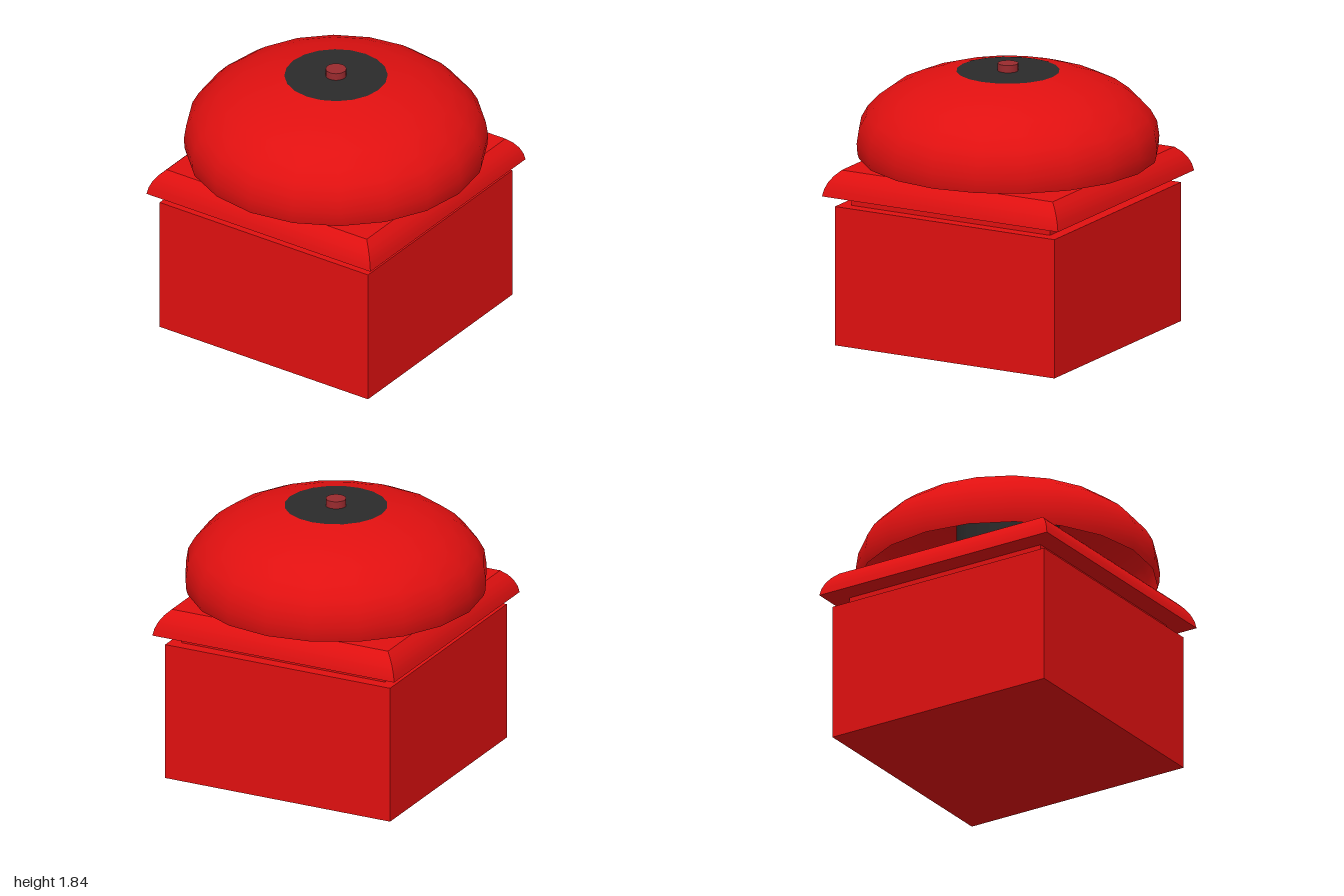
import * as THREE from 'three';
import { toCreasedNormals } from 'three/addons/utils/BufferGeometryUtils.js';

const paint = (color, side = THREE.FrontSide) => new THREE.MeshStandardMaterial({ color, side });

// Revolve [radius, y] pairs; four sides give a square section
function turned(profile, sides, start = 0, crease = 0.6) {
  const points = profile.map(([r, y]) => new THREE.Vector2(r, y));
  return toCreasedNormals(new THREE.LatheGeometry(points, sides, start), crease);
}

export function createModel() {
  const group = new THREE.Group();
  const red = paint(0xe01010);

  const add = (name, geometry, material, y = 0) => {
    const mesh = new THREE.Mesh(geometry, material);
    mesh.name = name;
    mesh.position.y = y;
    group.add(mesh);
  };

  // Square housing and recessed neck
  add('housing', new THREE.BoxGeometry(1.665, 0.945, 1.665), red, 0.4725);
  add('neck', new THREE.BoxGeometry(1.505, 0.075, 1.505), red, 0.9825);

  // Square lid with rounded shoulders
  const lidProfile = [[0, 1.02], [0.895, 1.02], [0.885, 1.067], [0.866, 1.112], [0.838, 1.153], [0.8, 1.19], [0, 1.19]]
    .map(([half, y]) => [half * Math.SQRT2, y]);
  add('lid', turned(lidProfile, 4, Math.PI / 4, 0.5), red);

  // Open bell dome
  const domeProfile = [
    [0.985, 1.215], [0.995, 1.25], [1, 1.32], [0.985, 1.42], [0.94, 1.5],
    [0.87, 1.575], [0.77, 1.65], [0.64, 1.71], [0.5, 1.755], [0.34, 1.79],
  ];
  add('bellDome', turned(domeProfile, 20, 0, 0.9), paint(0xe01010, THREE.DoubleSide));

  // Dark hub filling the crown of the dome, and the bolt on top
  add('hub', new THREE.CylinderGeometry(0.34, 0.34, 0.57, 20), paint(0x2a2a2a), 1.505);
  add('bolt', new THREE.CylinderGeometry(0.068, 0.068, 0.08, 20), paint(0x9a2a2e), 1.8);

  return group;
}
